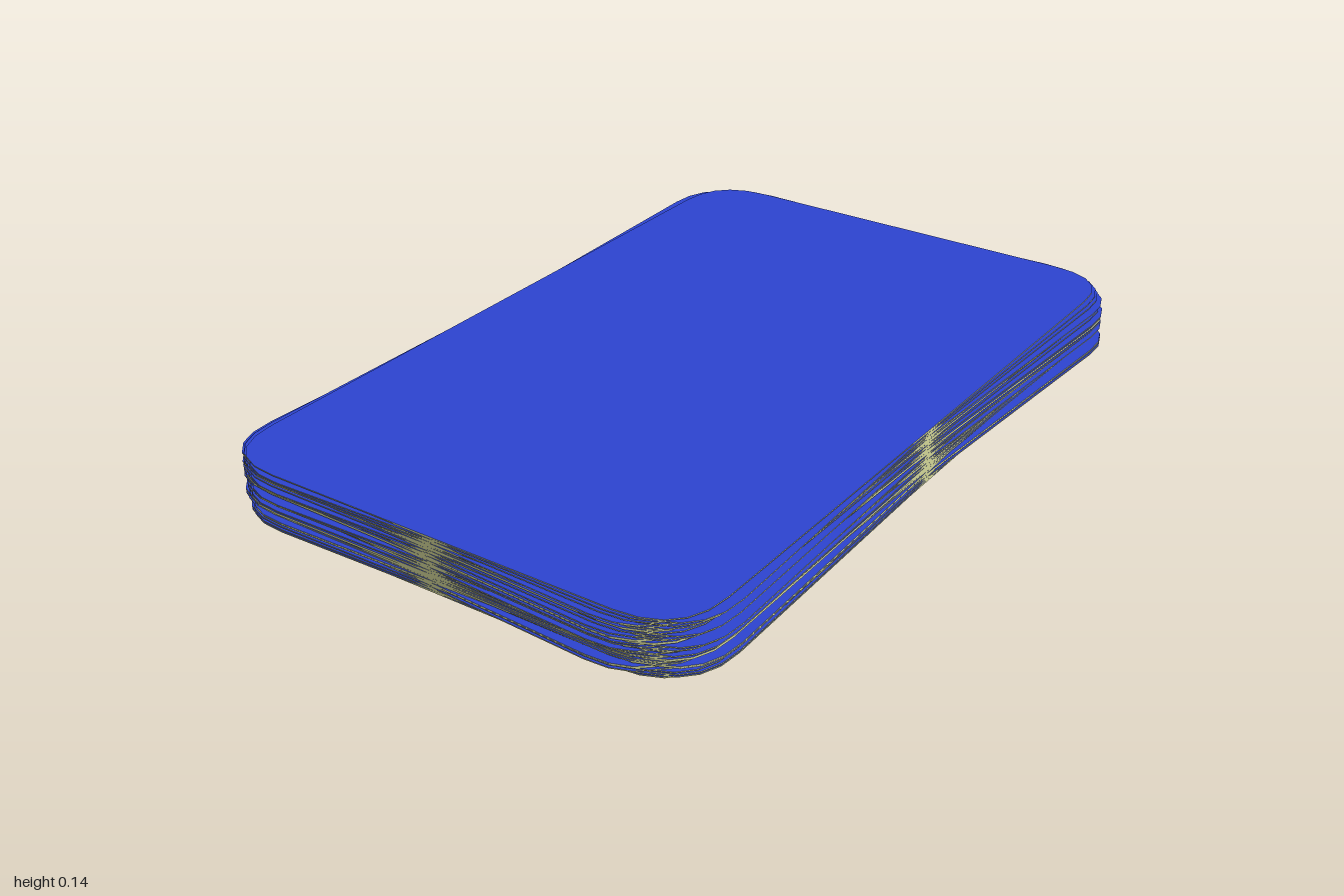
import * as THREE from 'three';

const HALF_W = 0.615, HALF_D = 0.978, CORNER = 0.16;
const HEIGHT = 0.135, COUNT = 52, MAX_TURN = 0.045;

// Rounded card outline
function cardShape() {
  const w = HALF_W, d = HALF_D, r = CORNER;
  const s = new THREE.Shape();
  s.moveTo(w, -d + r);
  s.lineTo(w, d - r);
  s.quadraticCurveTo(w, d, w - r, d);
  s.lineTo(-w + r, d);
  s.quadraticCurveTo(-w, d, -w, d - r);
  s.lineTo(-w, -d + r);
  s.quadraticCurveTo(-w, -d, -w + r, -d);
  s.lineTo(w - r, -d);
  s.quadraticCurveTo(w, -d, w, -d + r);
  return s;
}

// Small seeded generator, 0..1
function seeded(seed) {
  return () => {
    seed = (seed * 1664525 + 1013904223) % 4294967296;
    return seed / 4294967296;
  };
}

export function createModel() {
  const deck = new THREE.Group();
  deck.name = 'cardDeck';
  const thickness = HEIGHT / COUNT;

  const card = new THREE.ExtrudeGeometry(cardShape(), {
    depth: thickness, bevelEnabled: false, curveSegments: 5,
  });
  card.rotateX(-Math.PI / 2);

  // Separate the underside, the back and the edge for their own colours
  const caps = card.groups[0].count, edge = card.groups[1].count;
  card.clearGroups();
  card.addGroup(0, caps / 2, 0);
  card.addGroup(caps / 2, caps / 2, 1);
  card.addGroup(caps, edge, 2);
  const materials = [0x8c708a, 0x2d44d0, 0xd2d698].map(
    (color) => new THREE.MeshStandardMaterial({ color }));

  // Stack of cards, each turned a little about the centre
  const random = seeded(7);
  for (let i = 0; i < COUNT; i++) {
    const mesh = new THREE.Mesh(card, materials);
    mesh.name = `card${i + 1}`;
    mesh.position.y = i * thickness;
    const turn = (random() * 2 - 1) * MAX_TURN;
    mesh.rotation.y = i === 0 || i === COUNT - 1 ? 0.015 : turn;
    deck.add(mesh);
  }
  return deck;
}
